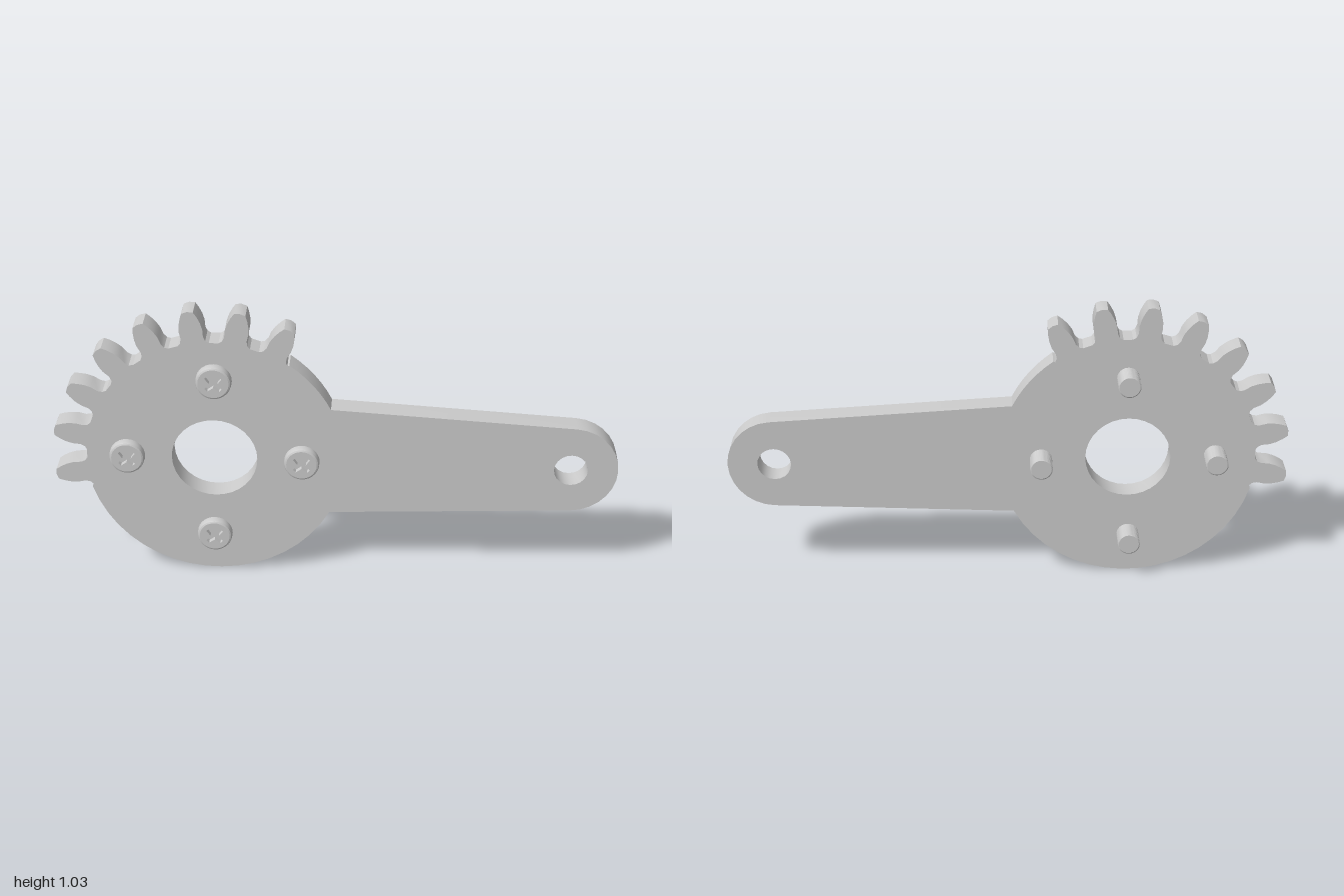
import * as THREE from 'three';
import { toCreasedNormals } from 'three/addons/utils/BufferGeometryUtils.js';

const material = new THREE.MeshStandardMaterial({ color: 0xcccccc });
const RAD = Math.PI / 180;
const CX = -0.427, CY = 0.461, R = 0.46; // hub centre and radius
const ARM_X = 0.834, ARM_Y = 0.438, ARM_R = 0.166; // rounded arm end
const BACK = -0.013, FRONT = 0.07; // plate faces

const polar = (cx, cy, r, deg) =>
  new THREE.Vector2(cx + r * Math.cos(deg * RAD), cy + r * Math.sin(deg * RAD));

function arc(cx, cy, r, from, to, steps) {
  const pts = [];
  for (let i = 0; i <= steps; i++) pts.push(polar(cx, cy, r, from + ((to - from) * i) / steps));
  return pts;
}

function circleHole(cx, cy, r, steps) {
  return new THREE.Path(arc(cx, cy, r, 0, 360, steps).slice(0, -1));
}

function mesh(name, geometry) {
  const m = new THREE.Mesh(geometry, material);
  m.name = name;
  return m;
}

// One tooth as [radius, half width], slightly waisted at the root
const TOOTH = [[0.454, 0.055], [0.462, 0.044], [0.478, 0.039], [0.505, 0.041],
  [0.53, 0.037], [0.553, 0.029], [0.571, 0.02]];

function toothPoints(deg) {
  const flank = (side) => TOOTH.map(([r, w]) => polar(CX, CY, r, deg + (side * w) / r / RAD));
  return [...flank(-1), polar(CX, CY, 0.575, deg), ...flank(1).reverse()];
}

// Hub, partial gear and arm in a single plate
function plate() {
  const outline = arc(CX, CY, R, 26, 54, 6);
  for (let i = 0; i < 8; i++) outline.push(...toothPoints(61.5 + 18.05 * i));
  outline.push(...arc(CX, CY, R, 196, 332, 18));
  outline.push(...arc(ARM_X, ARM_Y, ARM_R, -88, 86, 14));
  const shape = new THREE.Shape(outline);
  shape.holes.push(circleHole(CX, CY, 0.152, 32), circleHole(ARM_X, ARM_Y, 0.06, 20));
  const geo = new THREE.ExtrudeGeometry(shape, { depth: FRONT - BACK, bevelEnabled: false });
  geo.translate(0, 0, BACK);
  return mesh('gearPlate', toCreasedNormals(geo, 0.45));
}

// Cross-shaped driver recess with tapering arms
function crossPath() {
  const pts = [];
  for (let i = 0; i < 4; i++) {
    const a = 45 + 90 * i;
    pts.push(polar(0, 0, 0.036, a - 11), polar(0, 0, 0.036, a + 11), polar(0, 0, 0.015, a + 45));
  }
  return new THREE.Path(pts);
}

function lathe(profile, segments) {
  const geo = new THREE.LatheGeometry(profile.map(([r, z]) => new THREE.Vector2(r, z)), segments);
  geo.rotateX(Math.PI / 2);
  return toCreasedNormals(geo, 0.5);
}

function screw() {
  const group = new THREE.Group();
  group.name = 'screw';

  // Head rim, closed at the recess floor
  group.add(mesh('screwHeadRim', lathe(
    [[0, FRONT], [0.063, FRONT], [0.062, 0.09], [0.0595, 0.0965], [0.054, 0.099]], 28)));
  const face = new THREE.Shape(arc(0, 0, 0.054, 0, 360, 28).slice(0, -1));
  face.holes.push(crossPath());
  const faceGeo = new THREE.ExtrudeGeometry(face, { depth: 0.021, bevelEnabled: false });
  faceGeo.translate(0, 0, 0.078);
  group.add(mesh('screwHeadFace', faceGeo));
  const floor = new THREE.CircleGeometry(0.05, 24);
  floor.translate(0, 0, 0.079);
  group.add(mesh('recessFloor', floor));

  // Threaded shank behind the plate
  const profile = [[0, -0.097], [0.036, -0.097]];
  const turns = 11, pitch = 0.084 / turns;
  for (let i = 0; i < turns; i++) {
    const z = -0.097 + i * pitch;
    profile.push([0.04, z + pitch * 0.3], [0.04, z + pitch * 0.6], [0.036, z + pitch]);
  }
  group.add(mesh('threadedShank', lathe(profile, 24)));
  return group;
}

export function createModel() {
  const model = new THREE.Group();
  model.name = 'gearLever';
  model.add(plate());
  // Four screws around the central hole
  for (let i = 0; i < 4; i++) {
    const s = screw();
    const p = polar(CX, CY, 0.31, -1.3 + 90 * i);
    s.position.set(p.x, p.y, 0);
    s.rotation.z = -1.3 * RAD;
    model.add(s);
  }
  return model;
}
